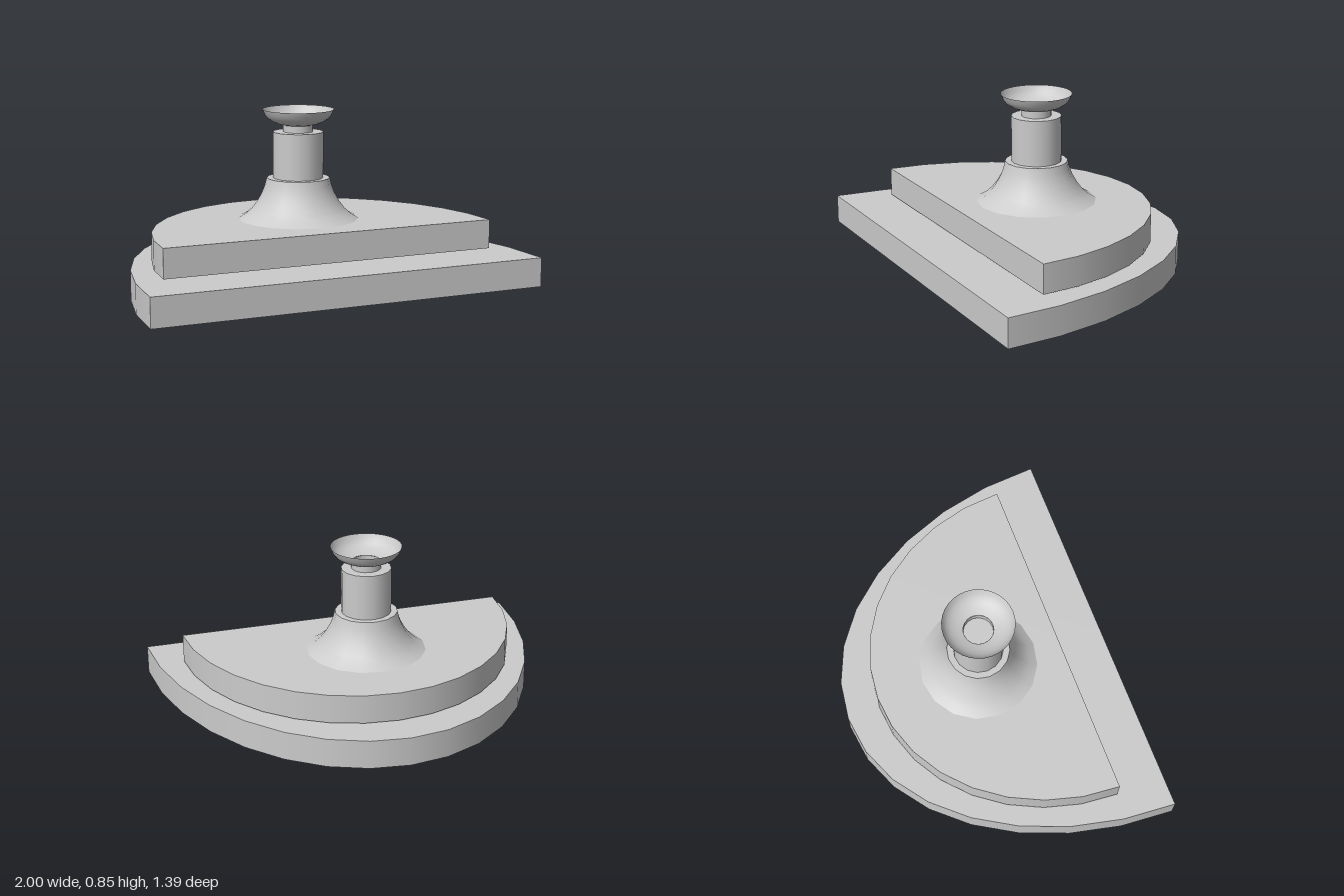
import * as THREE from 'three';

const AXIS_Z = 0.015; // the turned parts share this axis

export function createModel() {
  const model = new THREE.Group();
  const grey = new THREE.MeshStandardMaterial({ color: 0xcccccc, side: THREE.DoubleSide });

  const add = (parent, name, geometry, x, y, z) => {
    const mesh = new THREE.Mesh(geometry, grey);
    mesh.name = name;
    mesh.position.set(x, y, z);
    parent.add(mesh);
  };

  // Half-elliptical step, open underneath: straight wall in front, curved wall to the back
  const step = (name, rx, depth, frontZ, y0, y1) => {
    const group = new THREE.Group();
    group.name = name;
    group.position.set(0, y0, frontZ);
    const h = y1 - y0;
    const curve = new THREE.CylinderGeometry(1, 1, h, 16, 1, true, Math.PI / 2, Math.PI).scale(rx, 1, depth);
    const top = new THREE.CircleGeometry(1, 16, 0, Math.PI).rotateX(-Math.PI / 2).scale(rx, 1, depth);
    add(group, 'curvedWall', curve, 0, h / 2, 0);
    add(group, 'frontWall', new THREE.PlaneGeometry(2 * rx, h), 0, h / 2, 0);
    add(group, 'top', top, 0, h, 0);
    model.add(group);
  };
  step('lowerStep', 1, 1.39, 0.695, 0, 0.145);
  step('upperStep', 0.853, 0.967, 0.441, 0.155, 0.3);

  // Turned parts, each given as a profile of [radius, height]
  const lathe = (name, profile, sides) =>
    add(model, name, new THREE.LatheGeometry(profile.map(([r, y]) => new THREE.Vector2(r, y)), sides),
      0, 0, AXIS_Z);

  // Flared pedestal foot with a flat top
  lathe('pedestalFlare', [[0.3, 0.3], [0.262, 0.322], [0.23, 0.352], [0.203, 0.388],
    [0.181, 0.428], [0.166, 0.467], [0.157, 0.505]], 16);
  lathe('pedestalTop', [[0.157, 0.505], [0, 0.505]], 16);

  // Column with a flat top, carrying a short hollow neck
  lathe('column', [[0.125, 0.505], [0.125, 0.735]], 16);
  lathe('columnTop', [[0.125, 0.735], [0, 0.735]], 16);
  lathe('neck', [[0.074, 0.735], [0.074, 0.769]], 16);

  // Thin bowl, open into the neck
  lathe('bowl', [[0.074, 0.769], [0.105, 0.777], [0.132, 0.789], [0.152, 0.803],
    [0.167, 0.822], [0.177, 0.847]], 32);

  return model;
}
